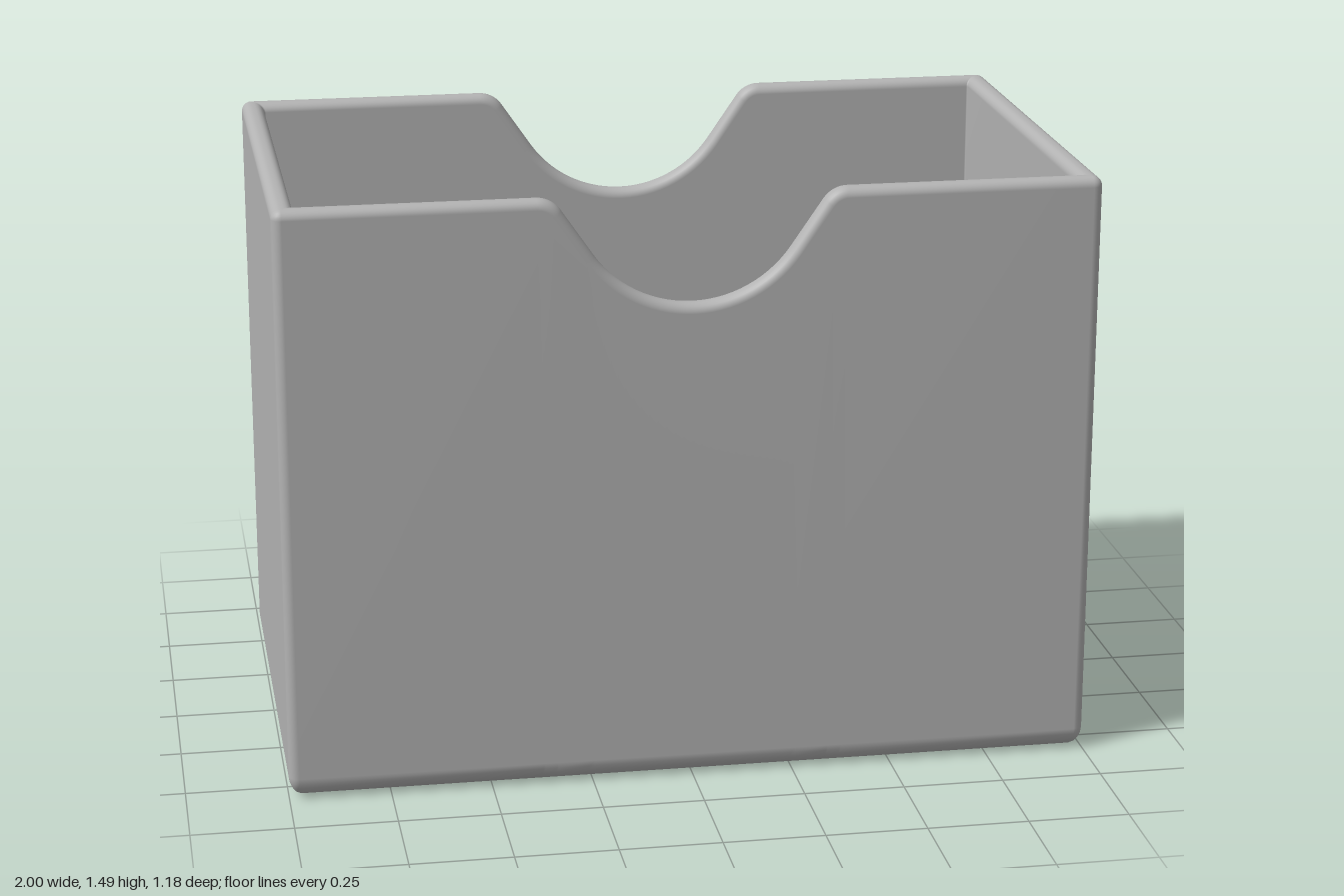
import * as THREE from 'three';

const W = 1, D = 0.59, H = 1.485;           // half width, half depth, height
const WALL = 0.056, FLOOR = 0.06;           // thicknesses
const CORNER = 0.025, BASE = 0.056;         // vertical and bottom edge radii
const RIM = 0.024, INNER = 0.02;            // rim rounding, inside floor fillet

// Thumb notch, left to right: round bottom, sloped sides, filleted lips
function notchPoints() {
  const R = 0.29, low = 1.215, A = 0.97, f = 0.07, half = [];
  const endX = R * Math.sin(A), endY = low + R * (1 - Math.cos(A));
  const lipX = endX + (H - endY) / Math.tan(A) + f * Math.tan(A / 2);
  const add = (cx, cy, r, a) => half.push({
    x: cx + r * Math.sin(a), h: cy - r * Math.cos(a), nx: -Math.sin(a), ny: Math.cos(a),
  });
  for (let i = 0; i <= 14; i++) add(0, low + R, R, A * i / 14);
  for (let i = 0; i <= 8; i++) add(lipX, H - f, -f, A * (1 - i / 8));
  const mirrored = half.slice(1).reverse().map(p => ({ ...p, x: -p.x, nx: -p.nx }));
  return [...mirrored, ...half];
}

// Outline samples, anticlockwise seen from above, starting on the front wall
function outline() {
  const notch = notchPoints(), list = [];
  const corner = (sx, sz, start) => {
    for (let i = 0; i <= 6; i++) {
      const a = start - (Math.PI / 2) * i / 6;
      list.push({ sx, sz, cx: Math.cos(a), cz: Math.sin(a), h: H, nx: 0, ny: 1 });
    }
  };
  notch.forEach(p => list.push({ ...p, side: 1 }));
  corner(1, 1, Math.PI / 2);
  corner(1, -1, 0);
  [...notch].reverse().forEach(p => list.push({ ...p, side: -1 }));
  corner(-1, -1, -Math.PI / 2);
  corner(-1, 1, Math.PI);
  return list;
}

// Section through the wall: outside bottom, up, over the rim, down to the floor
function section() {
  const rings = [], N = 6;
  const arc = fn => {
    for (let i = 0; i <= N; i++) {
      const a = (Math.PI / 2) * i / N;
      rings.push(fn(1 - Math.sin(a), 1 - Math.cos(a)));
    }
  };
  arc((s, c) => ({ inset: BASE * s, y: BASE * c }));
  arc((s, c) => ({ inset: RIM * c, drop: RIM * s }));
  arc((s, c) => ({ inset: WALL - RIM * s, drop: RIM * c }));
  arc((s, c) => ({ inset: WALL + INNER * c, y: FLOOR + INNER * s }));
  return rings;
}

function boxGeometry() {
  const path = outline(), rings = section(), n = path.length;
  const pos = [], index = [];
  for (const { inset, y, drop } of rings) {
    const r = Math.max(CORNER - inset, 0.004);
    for (const p of path) {
      const py = drop === undefined ? y : p.h - p.ny * drop;
      if (p.side) {
        pos.push(p.x - p.nx * (drop ?? RIM), py, p.side * (D - inset));
      } else {
        pos.push(p.sx * (W - inset - r) + r * p.cx, py, p.sz * (D - inset - r) + r * p.cz);
      }
    }
  }
  const under = pos.length / 3, floor = under + 1, last = (rings.length - 1) * n;
  pos.push(0, 0, 0, 0, FLOOR, 0);
  for (let j = 0; j < n; j++) {
    const k = (j + 1) % n;
    for (let i = 0; i < rings.length - 1; i++) {
      const a = i * n + j, b = i * n + k;
      index.push(a, b, b + n, a, b + n, a + n);
    }
    index.push(under, k, j, last + j, last + k, floor);
  }
  const geo = new THREE.BufferGeometry();
  geo.setAttribute('position', new THREE.Float32BufferAttribute(pos, 3));
  geo.setIndex(index);
  geo.computeVertexNormals();
  return geo;
}

export function createModel() {
  const grey = new THREE.MeshStandardMaterial({ color: 0xb3b3b3 });
  grey.name = 'light grey';
  const box = new THREE.Mesh(boxGeometry(), grey);
  box.name = 'openBox';
  const group = new THREE.Group();
  group.name = 'notchedCardBox';
  group.add(box);
  return group;
}
